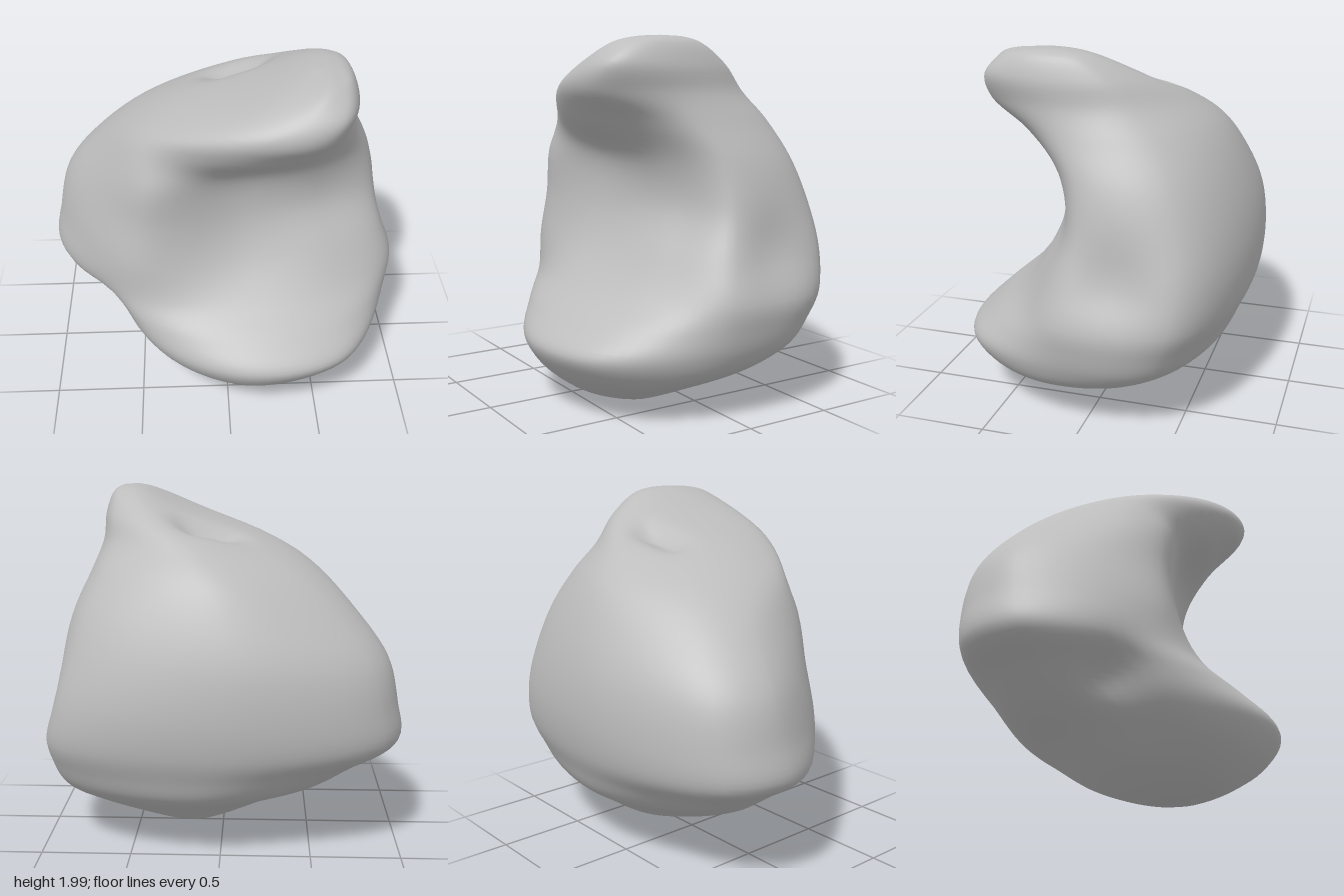
import * as THREE from 'three';
import { mergeVertices } from 'three/addons/utils/BufferGeometryUtils.js';

const AROUND = 80, STEPS = 6;

// At each height: y, left x, right x, front z, back z, left rim x, left rim z, right rim z
const levels = [
  // rounded underside
  [0.012, 0.1, 0.34, 0.33, 0.05, 0.14, 0.28, 0.27],
  [0.04, -0.04, 0.42, 0.47, -0.08, 0.03, 0.38, 0.4],
  [0.12, -0.23, 0.6, 0.61, -0.28, -0.14, 0.46, 0.52],
  [0.25, -0.42, 0.84, 0.75, -0.48, -0.32, 0.52, 0.62],
  // lower lip
  [0.37, -0.62, 0.93, 0.8, -0.64, -0.42, 0.53, 0.68],
  [0.5, -0.8, 0.97, 0.69, -0.71, -0.48, 0.5, 0.56],
  // side ledge and hollow front
  [0.64, -0.99, 0.99, 0.52, -0.77, -0.54, 0.43, 0.4],
  [0.85, -0.97, 0.95, 0.36, -0.8, -0.53, 0.42, 0.27],
  [1.1, -0.91, 0.87, 0.28, -0.78, -0.48, 0.4, 0.17],
  [1.35, -0.73, 0.8, 0.31, -0.7, -0.44, 0.4, 0.22],
  // overhanging upper lip
  [1.55, -0.53, 0.72, 0.52, -0.59, -0.42, 0.33, 0.4],
  [1.7, -0.28, 0.68, 0.61, -0.43, -0.18, 0.44, 0.58],
  [1.84, 0.12, 0.68, 0.61, -0.22, 0.16, 0.5, 0.58],
  [1.95, 0.37, 0.64, 0.51, -0.01, 0.4, 0.42, 0.45],
  [1.98, 0.45, 0.6, 0.4, 0.1, 0.48, 0.34, 0.35],
];

// Soft hollows: centre, radius, push
const hollows = [
  { at: [0.92, 0.85, -0.2], r: 0.22, push: [-0.08, 0, 0] }, // right flank
  { at: [-0.64, 0.46, 0.2], r: 0.16, push: [0.06, 0.02, -0.05] }, // under the side ledge
  { at: [0.0, 1.76, -0.17], r: 0.09, push: [0, -0.06, 0.02] }, // pits on top
  { at: [0.16, 1.78, -0.18], r: 0.09, push: [0, -0.07, 0.02] },
];

// Closed horizontal outline, with its corners derived from the extents
function outline([y, left, right, front, back, rimX, rimZ, rightRimZ]) {
  const w = right - left;
  const side = Math.min(0.39 + 0.7 * back, (front + back) / 2 + 0.03);
  const corner = Math.min(0.24, 0.23 * w);
  const inset = Math.min(0.12, 0.18 * w);
  const curve = new THREE.CatmullRomCurve3([
    [left, side],
    [rimX, rimZ],
    [Math.max(0.1, left + 0.42 * w), front],
    [right - 0.18 * w, rightRimZ],
    [right, side + 0.12 * w],
    [right - 0.7 * inset, back + corner],
    [left + 0.47 * w, back],
    [left + inset, back + corner],
  ].map(([x, z]) => new THREE.Vector3(x, y, z)), true);
  return Array.from({ length: AROUND }, (_, j) => curve.getPoint(j / AROUND));
}

// Single point that closes the top or the bottom
const pole = (x, y, z) => Array.from({ length: AROUND }, () => new THREE.Vector3(x, y, z));

function dent(v) {
  const start = v.clone();
  for (const h of hollows) {
    const d = start.distanceTo(new THREE.Vector3(...h.at)) / h.r;
    v.addScaledVector(new THREE.Vector3(...h.push), Math.exp(-d * d));
  }
  return v;
}

// Skin through the outlines, smoothed upward along every column
function loft(sections) {
  const rows = (sections.length - 1) * STEPS;
  const columns = Array.from({ length: AROUND }, (_, j) =>
    new THREE.CatmullRomCurve3(sections.map((s) => s[j])));
  const pos = [], index = [];
  for (let i = 0; i <= rows; i++) {
    for (let j = 0; j < AROUND; j++) {
      pos.push(...dent(columns[j].getPoint(i / rows)).toArray());
      const a = i * AROUND + j, b = i * AROUND + (j + 1) % AROUND;
      const c = a + AROUND, d = b + AROUND;
      if (i > 0 && i < rows) index.push(a, b, c);
      if (i < rows - 1) index.push(b, d, c);
    }
  }
  const raw = new THREE.BufferGeometry();
  raw.setAttribute('position', new THREE.Float32BufferAttribute(pos, 3));
  raw.setIndex(index);
  const geo = mergeVertices(raw, 1e-5);
  geo.computeVertexNormals();
  return geo;
}

export function createModel() {
  const group = new THREE.Group();
  group.name = 'hollowedStone';
  const grey = new THREE.MeshStandardMaterial({ color: 0xbdbdbd });
  grey.name = 'stone grey';

  const sections = [pole(0.22, 0, 0.2), ...levels.map(outline), pole(0.53, 1.99, 0.25)];
  const body = new THREE.Mesh(loft(sections), grey);
  body.name = 'stoneBody';
  group.add(body);
  return group;
}
